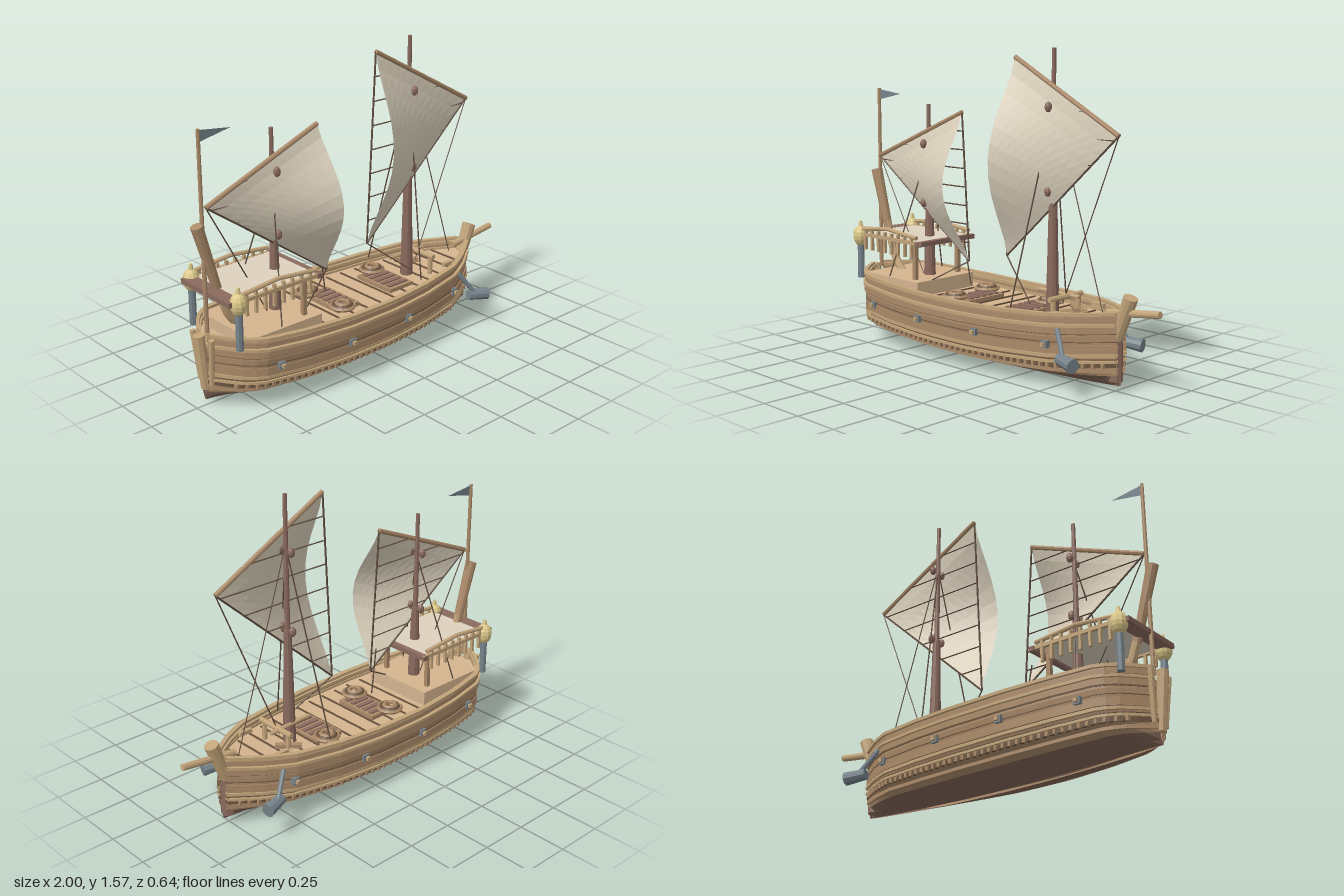
import * as THREE from 'three';

const mat = (name, color) =>
  new THREE.MeshStandardMaterial({ name, color, flatShading: true, side: THREE.DoubleSide });
const M = {
  hull: mat('hull wood', 0xab8a69), trim: mat('light trim wood', 0xc2a47a),
  deck: mat('deck wood', 0xd4b48f), bottom: mat('dark bottom wood', 0x806556),
  mast: mat('mast wood', 0x8a6a5e), dark: mat('dark seams', 0x6a543f),
  rope: mat('rope', 0x614e41), sail: mat('sail cloth', 0xdcd2bd),
  steel: mat('steel', 0x76838b), gold: mat('lantern gold', 0xdcc88a),
};
const V = (x, y, z) => new THREE.Vector3(x, y, z);

// linear interpolation through [key, value] pairs
function table(pts, k) {
  for (let i = 1; i < pts.length; i++) {
    const [a, va] = pts[i - 1], [b, vb] = pts[i];
    if (k <= b) return va + (vb - va) * Math.max(0, (k - a) / (b - a));
  }
  return pts[pts.length - 1][1];
}
const PLAN = [[-0.95, 0.04], [-0.87, 0.16], [-0.78, 0.235], [-0.55, 0.275], [-0.3, 0.295], [0, 0.29],
  [0.25, 0.262], [0.5, 0.21], [0.64, 0.135], [0.78, 0.035]];
const SIDE = [[0, 0.05], [0.02, 0.3], [0.05, 0.62], [0.1, 0.86], [0.16, 0.95], [0.24, 1], [0.35, 0.97]];
const width = x => table(PLAN, x);
const sheer = x => 0.03 * ((x + 0.08) / 0.87) ** 2;
const hullZ = (x, y) => width(x) * table(SIDE, y);

export function createModel() {
  const root = new THREE.Group();
  root.name = 'sailingShip';

  const add = (name, geo, m, x = 0, y = 0, z = 0) => {
    const mesh = new THREE.Mesh(geo, m);
    mesh.name = name;
    mesh.position.set(x, y, z);
    root.add(mesh);
    return mesh;
  };
  const box = (name, m, w, h, d, x, y, z) => add(name, new THREE.BoxGeometry(w, h, d), m, x, y, z);
  // round bar between two points
  const bar = (name, m, a, b, r0, r1 = r0, sides = 8) => {
    const dir = b.clone().sub(a);
    const mesh = add(name, new THREE.CylinderGeometry(r1, r0, dir.length(), sides), m);
    mesh.position.copy(a).add(b).multiplyScalar(0.5);
    mesh.quaternion.setFromUnitVectors(V(0, 1, 0), dir.normalize());
  };
  const rope = (a, b) => bar('rope', M.rope, a, b, 0.0035, 0.0035, 4);
  // skin over cross-sections [y, z] taken along x
  const loft = (name, m, section, n = 36) => {
    const rows = [], pos = [];
    for (let i = 0; i <= n; i++) {
      const x = -0.95 + 1.73 * i / n;
      rows.push(section(x).map(([y, z]) => [x, y + sheer(x), z]));
    }
    for (let i = 0; i < n; i++) for (let j = 0; j + 1 < rows[i].length; j++) {
      const a = rows[i][j], b = rows[i + 1][j], c = rows[i + 1][j + 1], d = rows[i][j + 1];
      pos.push(...a, ...b, ...c, ...a, ...c, ...d);
    }
    const g = new THREE.BufferGeometry();
    g.setAttribute('position', new THREE.Float32BufferAttribute(pos, 3));
    g.computeVertexNormals();
    add(name, g, m);
  };

  // hull skin and raised strakes on both sides
  for (const s of [1, -1]) {
    const skin = ys => x => ys.map(y => [y, s * hullZ(x, y)]);
    loft('hullBottom', M.bottom, skin([0, 0.02, 0.05]));
    loft('hullSide', M.hull, skin([0.05, 0.075, 0.1, 0.13, 0.16, 0.2, 0.24, 0.3, 0.35]));
    const strake = (name, m, y0, y1, out, inn = 0.01) => loft(name, m, x => {
      const z = hullZ(x, (y0 + y1) / 2), zo = s * (z + out), zi = s * Math.max(0, z - inn);
      return [[y0, zi], [y0, zo], [y1, zo], [y1, zi], [y0, zi]];
    });
    strake('lowerPlank', M.hull, 0.065, 0.09, 0.005);
    strake('beamEndGroove', M.dark, 0.093, 0.113, 0.004);
    strake('lowerWale', M.trim, 0.114, 0.126, 0.013);
    strake('middlePlank', M.hull, 0.16, 0.2, 0.008);
    strake('middleWale', M.trim, 0.142, 0.157, 0.013);
    strake('upperPlank', M.hull, 0.255, 0.285, 0.01);
    strake('upperWale', M.trim, 0.288, 0.302, 0.018);
    strake('railPlank', M.hull, 0.308, 0.33, 0.006);
    strake('railCap', M.trim, 0.338, 0.354, 0.015, 0.012);
    strake('innerRail', M.trim, 0.325, 0.34, -0.01, 0.026);
    for (const y of [0.13, 0.212, 0.25]) strake('seam', M.dark, y, y + 0.004, 0.002);

    // row of beam ends
    for (let i = 0; i < 42; i++) {
      const x = -0.87 + i * 0.039;
      box('beamEnd', M.hull, 0.015, 0.022, 0.022, x, 0.102 + sheer(x), s * (hullZ(x, 0.102) + 0.003));
    }
    // metal fittings along the side
    for (const x of [-0.69, -0.29, 0.1, 0.5]) {
      const z = hullZ(x, 0.22);
      box('portPlate', M.steel, 0.034, 0.034, 0.03, x, 0.218, s * z);
      box('portBlock', M.trim, 0.018, 0.018, 0.03, x, 0.218, s * (z + 0.014));
    }
    // hanging weight at the bow
    bar('bowArm', M.steel, V(0.555, 0.295, s * 0.19), V(0.645, 0.165, s * 0.245), 0.012);
    bar('bowWeight', M.steel, V(0.6, 0.17, s * 0.225), V(0.71, 0.16, s * 0.255), 0.027, 0.034, 10);
  }

  // stem, bowsprit and stern post
  bar('stem', M.mast, V(0.75, 0.05, 0), V(0.757, 0.31, 0), 0.036, 0.026);
  bar('stemHead', M.trim, V(0.755, 0.25, 0), V(0.833, 0.455, 0), 0.03, 0.036, 10);
  bar('bowsprit', M.trim, V(0.7, 0.365, 0), V(1, 0.402, 0), 0.019, 0.017, 10);
  bar('sternPost', M.trim, V(-0.945, 0.09, 0), V(-0.972, 0.37, 0), 0.024, 0.028);
  for (const s of [1, -1])
    bar('sternTimber', M.trim, V(-0.94, 0.12, s * 0.045), V(-0.955, 0.365, s * 0.075), 0.014);
  const curve = new THREE.CatmullRomCurve3([V(-0.73, 0.34, 0), V(-0.8, 0.42, 0), V(-0.84, 0.52, 0), V(-0.87, 0.62, 0)]);
  add('tallSternKnee', new THREE.TubeGeometry(curve, 10, 0.021, 8), M.trim);
  bar('tallSternPost', M.hull, V(-0.85, 0.54, 0), V(-0.955, 0.9, 0), 0.022, 0.03, 10);

  // deck with plank seams
  loft('deck', M.deck, x => [[0.29, -hullZ(x, 0.29)], [0.29, hullZ(x, 0.29)]]);
  for (let x = -0.36; x < 0.66; x += 0.092)
    box('deckSeam', M.dark, 0.009, 0.006, 1.74 * hullZ(x, 0.29), x, 0.293 + sheer(x), 0);

  // hatches and coiled ropes
  for (const [x, w] of [[-0.165, 0.14], [0.2, 0.16]]) {
    box('hatch', M.hull, w, 0.025, 0.25, x, 0.3, 0);
    for (let i = -2; i <= 2; i++) box('hatchSlat', M.mast, w - 0.03, 0.008, 0.025, x, 0.315, i * 0.045);
  }
  for (const [x, z] of [[-0.22, -0.125], [0.22, -0.125], [-0.2, 0.12]])
    for (let i = 0; i < 3; i++)
      add('ropeCoil', new THREE.TorusGeometry(0.058 - i * 0.014, 0.011, 5, 16), i === 1 ? M.dark : M.hull,
        x, 0.322 + i * 0.007, z).rotation.x = Math.PI / 2;

  // windlass and loose timbers at the fore mast
  bar('windlass', M.trim, V(0.44, 0.4, -0.115), V(0.44, 0.4, 0.115), 0.014);
  for (const s of [1, -1]) {
    bar('windlassPost', M.trim, V(0.44, 0.29, s * 0.09), V(0.44, 0.41, s * 0.09), 0.013);
    box('bowCleat', M.trim, 0.075, 0.02, 0.022, 0.525, 0.35, s * 0.14);
  }
  bar('windlassLever', M.trim, V(0.25, 0.405, -0.02), V(0.5, 0.4, -0.03), 0.01);
  box('looseTimber', M.trim, 0.13, 0.02, 0.03, 0.42, 0.315, -0.08).rotation.y = 0.9;
  box('looseTimber', M.hull, 0.13, 0.02, 0.03, 0.43, 0.33, -0.08).rotation.y = -0.7;

  // aft cabin with a flat cloth canopy
  box('cabin', M.deck, 0.42, 0.09, 0.4, -0.61, 0.325, 0);
  box('canopy', M.sail, 0.46, 0.008, 0.37, -0.64, 0.574, 0);
  box('canopyEndBeam', M.mast, 0.07, 0.024, 0.38, -0.895, 0.567, 0);
  box('canopyEndBeam', M.mast, 0.03, 0.024, 0.4, -0.405, 0.567, 0);
  for (const s of [1, -1]) {
    const z = s * 0.186;
    bar('canopyBeam', M.trim, V(-0.87, 0.598, z), V(-0.65, 0.62, z), 0.011);
    bar('canopyBeam', M.trim, V(-0.65, 0.62, z), V(-0.42, 0.598, z), 0.011);
    box('canopyRail', M.trim, 0.48, 0.018, 0.018, -0.63, 0.57, z);
    for (let i = 0; i < 8; i++) box('baluster', M.trim, 0.013, 0.11, 0.016, -0.83 + i * 0.053, 0.545, z);
    box('canopyPost', M.hull, 0.022, 0.22, 0.022, -0.47, 0.46, s * 0.15);
    // stern lanterns
    bar('lanternPost', M.steel, V(-0.875, 0.33, s * 0.185), V(-0.875, 0.52, s * 0.185), 0.018);
    add('lantern', new THREE.SphereGeometry(0.042, 10, 8), M.gold, -0.875, 0.56, s * 0.185).scale.y = 1.35;
    bar('lanternTop', M.gold, V(-0.875, 0.6, s * 0.185), V(-0.875, 0.64, s * 0.185), 0.015, 0.008);
  }

  // flag
  bar('flagPole', M.hull, V(-0.925, 0.36, 0), V(-0.925, 1.345, 0), 0.011, 0.009);
  const flag = new THREE.Shape([[0, 0.02], [0.17, 0], [0, -0.035]].map(p => new THREE.Vector2(...p)));
  add('flag', new THREE.ShapeGeometry(flag), M.steel, -0.92, 1.32, 0);

  // masts with lateen rigs: A yard peak, B yard low end, C foot corner
  const rig = (x, thickTop, top, balls, A, B, C) => {
    bar('lowerMast', M.mast, V(x, 0.28, 0), V(x, thickTop, 0), 0.034, 0.02, 10);
    bar('upperMast', M.mast, V(x, thickTop - 0.02, 0), V(x, top, 0), 0.014, 0.01);
    for (const y of balls) for (const z of [0.038, -0.038])
      add('mastBlock', new THREE.SphereGeometry(0.018, 8, 6), M.mast, x, y, z).scale.y = 1.4;
    bar('yard', M.hull, A, B, 0.012);
    // cloth: u runs down the yard, v from the yard to the foot corner
    const n = 12, sail = new THREE.PlaneGeometry(1, 1, n, n), p = sail.attributes.position;
    for (let i = 0; i < p.count; i++) {
      const u = p.getX(i) + 0.5, v = 0.5 - p.getY(i);
      const q = A.clone().lerp(B, u).lerp(C, v);
      q.z += 0.162 * Math.max(0, Math.sin(Math.PI * v)) ** 1.4 * (1 - u);
      p.setXYZ(i, q.x, q.y, q.z);
    }
    sail.computeVertexNormals();
    add('sail', sail, M.sail);
    bar('leechRope', M.rope, A, C, 0.005, 0.005, 5);
    bar('footRope', M.rope, B, C, 0.005, 0.005, 5);
    // level battens behind the cloth
    for (let i = 1; i < 8; i++) {
      const a = C.clone().lerp(A, i / 8), t = (a.y - C.y) / (B.y - C.y);
      rope(a, t < 1 ? C.clone().lerp(B, t) : B.clone().lerp(A, (a.y - B.y) / (A.y - B.y)));
    }
  };
  rig(0.355, 0.9, 1.575, [1.3, 0.9], V(0.115, 1.53, 0.012), V(0.76, 1.185, 0.012), V(0.06, 0.55, 0.012));
  rig(-0.525, 0.76, 1.275, [1.07, 0.76], V(-0.26, 1.245, 0.012), V(-0.91, 0.98, 0.012), V(-0.21, 0.485, 0.012));

  // standing and running ropes
  for (const s of [1, -1]) {
    rope(V(0.355, 1.32, 0), V(0.265, 0.35, s * 0.2));
    rope(V(-0.525, 1.05, 0), V(-0.635, 0.36, s * 0.19));
  }
  rope(V(0.36, 1.32, 0), V(0.675, 0.34, 0));
  rope(V(0.76, 1.185, 0.012), V(0.42, 0.36, 0));
  rope(V(0.06, 0.55, 0.012), V(0.3, 0.36, 0.1));
  rope(V(-0.91, 0.98, 0.012), V(-0.57, 0.36, 0));
  rope(V(-0.21, 0.485, 0.012), V(-0.42, 0.36, 0.1));
  rope(V(-0.25, 0.6, 0.012), V(-0.21, 0.36, 0));

  return root;
}
